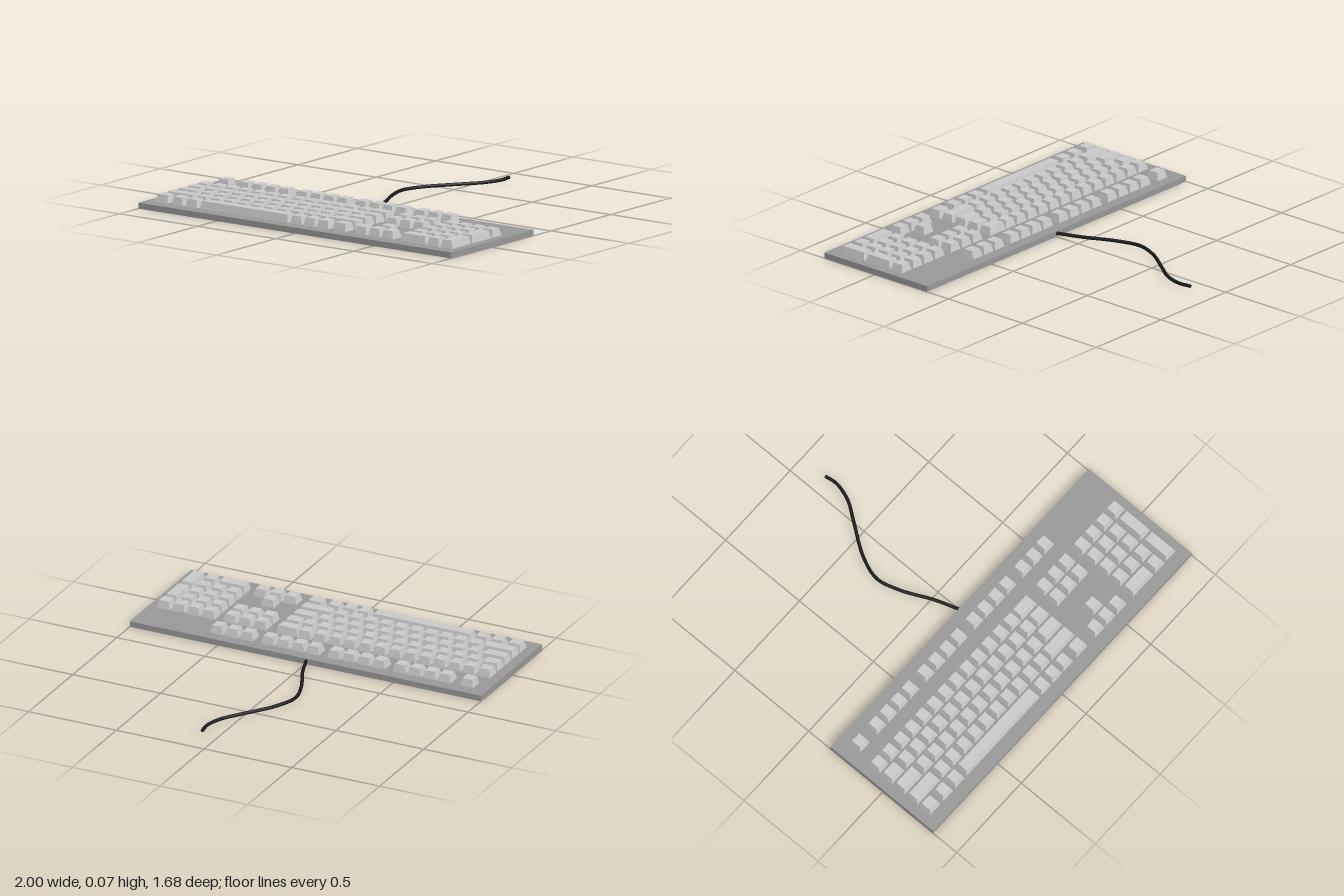
import * as THREE from 'three';

const BASE_TOP = 0.031, KEY_TOP = 0.072, KEY = 0.074, PITCH = 0.0852, TAPER = 0.01;
const rowZ = (i) => (i === 0 ? 0.245 : 0.393 + 0.0855 * (i - 1)); // row 0 is the separate back row

export function createModel() {
  const model = new THREE.Group();
  model.name = 'keyboard';

  const material = (name, color) => {
    const m = new THREE.MeshStandardMaterial({ color });
    m.name = name;
    return m;
  };
  const caseGrey = material('caseGrey', 0x999999);
  const keyGrey = material('keyGrey', 0xcacaca);
  const cableBlack = material('cableBlack', 0x1a1a1a);

  const section = (name) => {
    const g = new THREE.Group();
    g.name = name;
    model.add(g);
    return g;
  };

  // Keycap: a box whose top face is drawn in on all sides
  const addKey = (group, name, x0, x1, row, lastRow = row) => {
    const w = x1 - x0, h = KEY_TOP - BASE_TOP;
    const d = rowZ(lastRow) - rowZ(row) + KEY;
    const geo = new THREE.BoxGeometry(w, h, d);
    const p = geo.attributes.position;
    for (let i = 0; i < p.count; i++) {
      if (p.getY(i) > 0) {
        p.setX(i, p.getX(i) - Math.sign(p.getX(i)) * TAPER);
        p.setZ(i, p.getZ(i) - Math.sign(p.getZ(i)) * TAPER);
      }
    }
    geo.computeVertexNormals();
    const mesh = new THREE.Mesh(geo, keyGrey);
    mesh.name = name;
    mesh.position.set((x0 + x1) / 2, BASE_TOP + h / 2, (rowZ(row) + rowZ(lastRow)) / 2);
    group.add(mesh);
  };

  // Run of standard keys, starting from the centre of the first one
  const addRun = (group, name, x, row, count) => {
    for (let i = 0; i < count; i++) {
      const c = x + i * PITCH;
      addKey(group, name, c - KEY / 2, c + KEY / 2, row);
    }
  };

  // Base plate
  const base = new THREE.Mesh(new THREE.BoxGeometry(2, BASE_TOP, 0.695), caseGrey);
  base.name = 'basePlate';
  base.position.set(0, BASE_TOP / 2, 0.4935);
  model.add(base);

  // Back row
  const backRow = section('backRowKeys');
  addRun(backRow, 'escapeKey', -0.887, 0, 1);
  for (const x of [-0.759, -0.384, -0.008]) addRun(backRow, 'backRowKey', x, 0, 4);

  // Main block: standard runs [first centre, row, count]
  const mainKeys = section('mainKeys');
  const L = -0.946, R = 0.273;
  [[-0.909, 1, 13], [-0.798, 2, 12], [-0.758, 3, 11], [-0.719, 4, 10], [-0.046, 5, 3]]
    .forEach(([x, row, n]) => addRun(mainKeys, 'letterKey', x, row, n));
  // Wide keys [name, left, right, row]
  [
    ['backspaceKey', 0.152, R, 1],
    ['tabKey', L, -0.85, 2], ['slashKey', 0.182, R, 2],
    ['capsKey', L, -0.808, 3], ['returnKey', 0.145, R, 3],
    ['leftShiftKey', L, -0.77, 4], ['rightShiftKey', 0.091, R, 4],
    ['controlKey', L, -0.865, 5], ['systemKey', -0.843, -0.768, 5],
    ['optionKey', -0.753, -0.678, 5], ['spaceBar', -0.662, -0.097, 5],
    ['rightControlKey', 0.187, R, 5],
  ].forEach(([name, a, b, row]) => addKey(mainKeys, name, a, b, row));

  // Navigation cluster and arrows
  const navKeys = section('navigationKeys');
  for (const row of [0, 1, 2]) addRun(navKeys, 'navigationKey', 0.368, row, 3);
  addRun(navKeys, 'arrowKey', 0.368 + PITCH, 4, 1);
  addRun(navKeys, 'arrowKey', 0.368, 5, 3);

  // Number pad, with two tall keys and one wide key
  const pad = section('numberPad');
  const px = 0.661, last = px + 3 * PITCH;
  addRun(pad, 'padKey', px, 1, 4);
  for (const row of [2, 3, 4]) addRun(pad, 'padKey', px, row, 3);
  addKey(pad, 'padZeroKey', px - KEY / 2, px + PITCH + KEY / 2, 5);
  addRun(pad, 'padKey', px + 2 * PITCH, 5, 1);
  addKey(pad, 'padPlusKey', last - KEY / 2, last + KEY / 2, 2, 3);
  addKey(pad, 'padEnterKey', last - KEY / 2, last + KEY / 2, 4, 5);

  // Cable trailing from the back edge
  const cable = section('cable');
  const CABLE_Y = 0.018, CABLE_R = 0.009;
  const path = new THREE.CatmullRomCurve3([
    [-0.003, 0.15], [-0.048, 0.02], [-0.125, -0.15], [-0.155, -0.28], [-0.11, -0.41],
    [0, -0.57], [0.068, -0.67], [0.098, -0.77], [0.09, -0.841],
  ].map(([x, z]) => new THREE.Vector3(x, CABLE_Y, z)));
  const cord = new THREE.Mesh(new THREE.TubeGeometry(path, 64, CABLE_R, 12), cableBlack);
  cord.name = 'cord';
  const tip = new THREE.Mesh(new THREE.CircleGeometry(CABLE_R, 12), cableBlack);
  tip.name = 'cordEnd';
  tip.position.copy(path.getPoint(1));
  tip.lookAt(path.getPoint(1).add(path.getTangent(1)));
  cable.add(cord, tip);

  return model;
}
